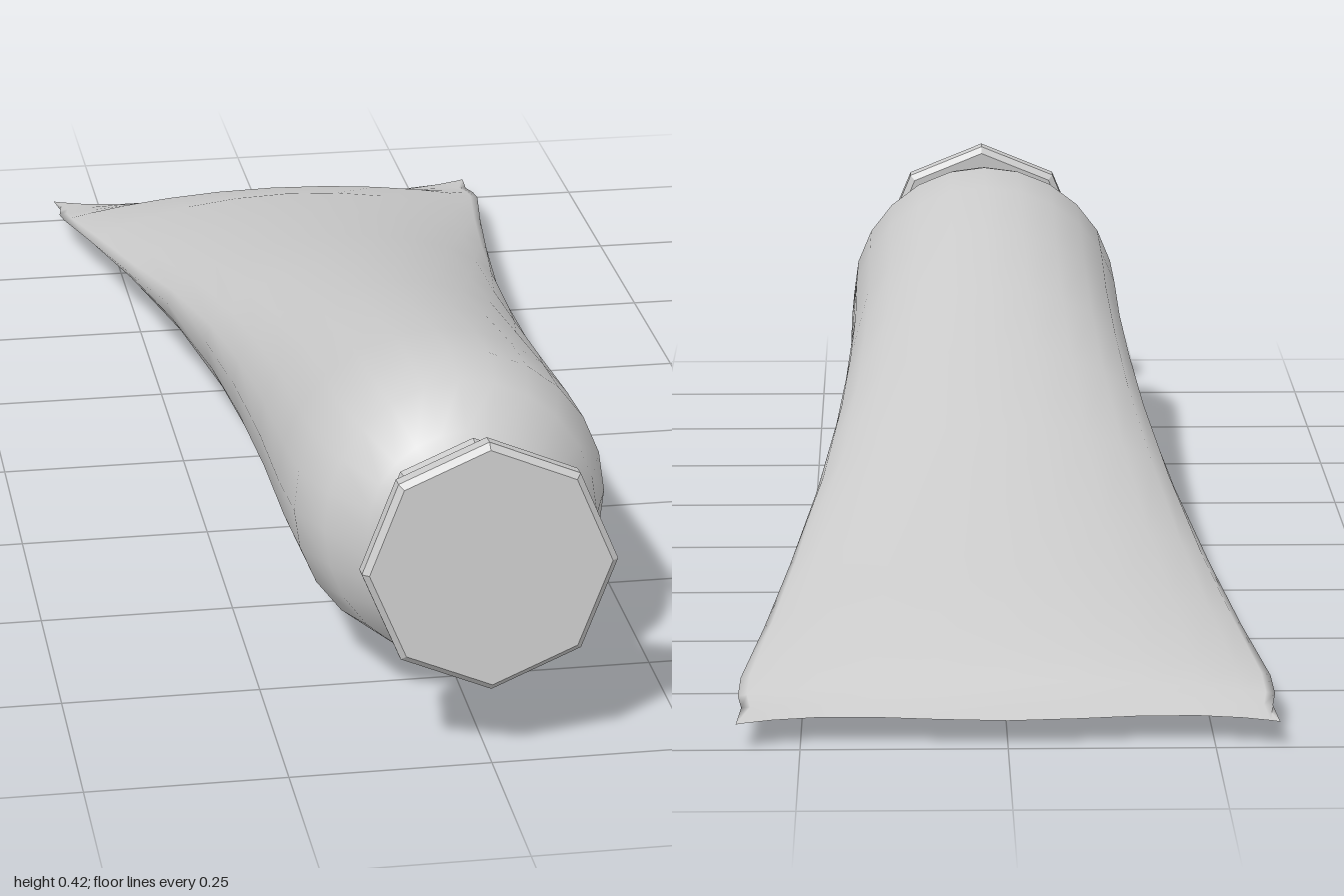
import * as THREE from 'three';

const SIDES = 24;

// Body cross-sections, nose to tail:
// [z, half width, bottom y, widest y, top y, lens sharpness, tilt of the ring]
const SECTIONS = [
  [0.875, 0.085, 0.165, 0.25, 0.335, 1, 0.09],
  [0.845, 0.092, 0.145, 0.245, 0.342, 1, 0.09],
  [0.825, 0.125, 0.1, 0.24, 0.365, 1, 0.1],
  [0.782, 0.172, 0.055, 0.23, 0.41, 1, 0.13],
  [0.7, 0.198, 0.032, 0.225, 0.422, 1, 0.08],
  [0.58, 0.2, 0.026, 0.215, 0.41, 1, 0],
  [0.4, 0.2, 0.021, 0.208, 0.376, 1, 0],
  [0.2, 0.206, 0.018, 0.198, 0.332, 1.03, 0],
  [0, 0.217, 0.015, 0.18, 0.287, 1.08, 0],
  [-0.25, 0.24, 0.009, 0.145, 0.235, 1.2, 0],
  [-0.5, 0.272, 0.012, 0.105, 0.172, 1.4, 0],
  [-0.7, 0.3, 0.004, 0.076, 0.137, 1.6, 0],
  [-0.86, 0.325, 0.009, 0.055, 0.09, 1.8, 0],
  [-0.91, 0.327, 0.023, 0.046, 0.063, 1.8, 0],
  [-0.945, 0.322, 0.037, 0.041, 0.047, 1.5, 0],
  [-0.98, 0.327, 0.036, 0.036, 0.036, 1, 0],
];

function bodyGeometry() {
  const pos = [], idx = [];
  SECTIONS.forEach(([z, w, bottom, mid, top, sharp, tilt], row) => {
    for (let i = 0; i < SIDES; i++) {
      const a = (i / SIDES) * Math.PI * 2;
      const u = Math.cos(a), s = Math.sin(a);
      const rise = Math.pow(Math.abs(s), sharp);
      const y = mid + rise * (s > 0 ? top - mid : bottom - mid);
      let zz = z - tilt * (y - 0.24);
      // wavy crimped edge with pulled-out corners
      if (row === SECTIONS.length - 1) zz -= 0.01 * Math.cos(Math.PI * u / 0.62) + 0.0165 * u ** 8;
      pos.push(w * u, y, zz);
    }
  });
  for (let r = 0; r < SECTIONS.length - 1; r++) {
    for (let i = 0; i < SIDES; i++) {
      const j = (i + 1) % SIDES;
      const a = r * SIDES + i, b = r * SIDES + j, c = a + SIDES, d = b + SIDES;
      idx.push(a, c, b, b, c, d);
    }
  }
  const g = new THREE.BufferGeometry();
  g.setAttribute('position', new THREE.Float32BufferAttribute(pos, 3));
  g.setIndex(idx);
  g.computeVertexNormals();
  return g;
}

export function createModel() {
  const group = new THREE.Group();

  // Squeezed tube: round at the nose, flat at the tail
  const body = new THREE.Mesh(bodyGeometry(),
    new THREE.MeshStandardMaterial({ color: 0xcccccc, side: THREE.DoubleSide }));
  body.name = 'tubeBody';
  group.add(body);

  // Eight-sided cap pieces, turned around the tilted nozzle axis
  const flat = new THREE.MeshStandardMaterial({ color: 0xcccccc, flatShading: true });
  const cap = new THREE.Group();
  cap.name = 'cap';
  cap.position.set(0, 0.255, 0.968);
  cap.rotation.x = Math.PI / 2 - 0.087;
  const addTurned = (name, profile) => {
    const mesh = new THREE.Mesh(
      new THREE.LatheGeometry(profile.map(([r, h]) => new THREE.Vector2(r, h)), 8), flat);
    mesh.name = name;
    cap.add(mesh);
  };
  addTurned('capCollar', [[0, -0.112], [0.118, -0.112], [0.128, -0.1], [0.108, -0.025], [0.1, -0.01]]);
  addTurned('capFlange', [[0, -0.018], [0.148, -0.018], [0.157, -0.01], [0.157, 0.01], [0.149, 0.018], [0, 0.018]]);
  group.add(cap);

  return group;
}
